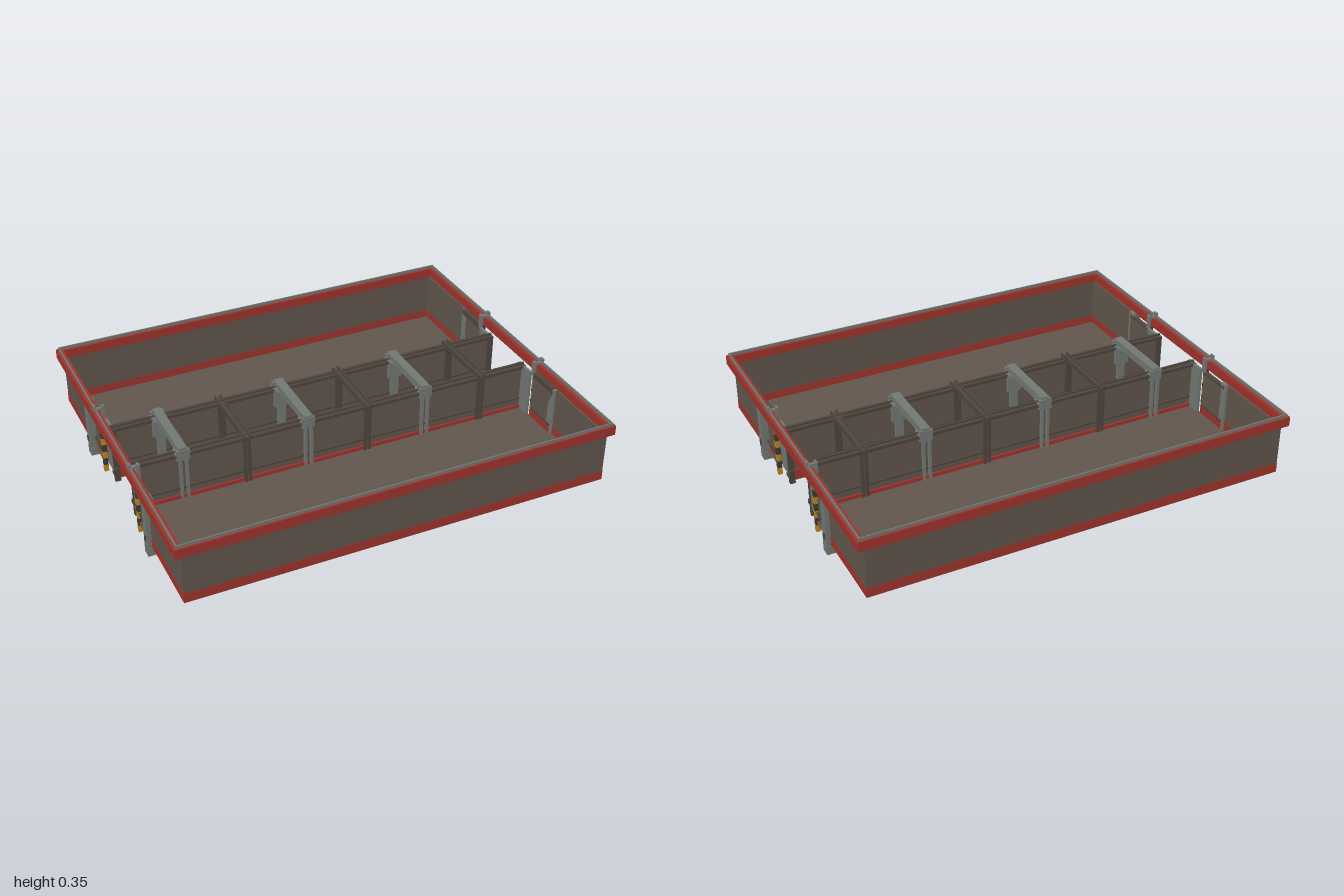
import * as THREE from 'three';

const mat = (name, color) => {
  const m = new THREE.MeshStandardMaterial({ color });
  m.name = name;
  return m;
};

export function createModel() {
  const brown = mat('brown panel', 0x62574d);
  const dark = mat('dark brown steel', 0x4f463e);
  const red = mat('red trim', 0xa0342d);
  const grey = mat('grey steel', 0x737a74);
  const yellow = mat('hazard yellow', 0xb98a20);
  const black = mat('hazard dark', 0x3d3a35);

  const model = new THREE.Group();

  // Box between two corners, in any order
  const box = (name, m, x0, x1, y0, y1, z0, z1, parent = model) => {
    const mesh = new THREE.Mesh(
      new THREE.BoxGeometry(Math.abs(x1 - x0), Math.abs(y1 - y0), Math.abs(z1 - z0)), m);
    mesh.position.set((x0 + x1) / 2, (y0 + y1) / 2, (z0 + z1) / 2);
    mesh.name = name;
    parent.add(mesh);
    return mesh;
  };

  // Flat plan outline raised between two heights
  const slab = (name, m, shape, y0, y1) => {
    const g = new THREE.ExtrudeGeometry(shape, { depth: y1 - y0, bevelEnabled: false });
    g.rotateX(-Math.PI / 2);
    const mesh = new THREE.Mesh(g, m);
    mesh.position.y = y0;
    mesh.name = name;
    model.add(mesh);
    return mesh;
  };
  const rect = (Type, x, z) => new Type(
    [[-x, -z], [x, -z], [x, z], [-x, z]].map(p => new THREE.Vector2(...p)));
  const ring = (name, m, x, z, ix, iz, y0, y1) => {
    const s = rect(THREE.Shape, x, z);
    s.holes.push(rect(THREE.Path, ix, iz));
    return slab(name, m, s, y0, y1);
  };

  // Continuous rim band with a thin upstand
  ring('rimBand', red, 0.995, 0.81, 0.963, 0.785, 0.28, 0.325);
  ring('rimLip', grey, 0.985, 0.802, 0.979, 0.796, 0.325, 0.338);

  for (const s of [1, -1]) {
    // Floor, narrower at the ends beside the corridor
    box('floor', brown, -0.963, 0.963, 0.045, 0.052, s * 0.24, s * 0.793);
    box('floorInner', brown, -0.943, 0.943, 0.045, 0.052, s * 0.165, s * 0.24);

    // Long outer wall
    box('longWall', brown, -0.965, 0.965, 0.09, 0.285, s * 0.785, s * 0.795);
    box('longWallBase', red, -0.965, 0.965, 0.045, 0.09, s * 0.784, s * 0.796);

    // Corridor wall with base beam and channel cap
    box('corridorWall', brown, -0.945, 0.945, 0.05, 0.27, s * 0.138, s * 0.158);
    box('corridorBase', red, -0.94, 0.94, 0.02, 0.07, s * 0.132, s * 0.166);
    box('corridorCap', dark, -0.95, 0.95, 0.265, 0.28, s * 0.128, s * 0.168);
    box('corridorCapRib', dark, -0.95, 0.95, 0.28, 0.288, s * 0.142, s * 0.15);
    box('corridorRail', dark, -0.94, 0.94, 0.1, 0.108, s * 0.132, s * 0.164);

    for (const e of [1, -1]) {
      // End wall and recessed bay beside the column
      box('endWall', brown, e * 0.955, e * 0.965, 0.09, 0.285, s * 0.4, s * 0.795);
      box('endWallBase', red, e * 0.954, e * 0.966, 0.045, 0.09, s * 0.4, s * 0.796);
      box('bayPanel', brown, e * 0.945, e * 0.953, 0.1, 0.268, s * 0.24, s * 0.4);
      box('bayBase', red, e * 0.944, e * 0.954, 0.045, 0.09, s * 0.24, s * 0.4);
      for (const y of [0.09, 0.262])
        box('bayRail', dark, e * 0.942, e * 0.962, y, y + 0.01, s * 0.24, s * 0.4);

      // Tall end column with foot and latch
      box('endColumn', grey, e * 0.945, e * 0.985, 0.005, 0.285, s * 0.375, s * 0.415);
      box('columnFoot', grey, e * 0.938, e * 0.985, 0, 0.04, s * 0.373, s * 0.417);
      box('columnLatch', dark, e * 0.985, e * 0.99, 0.07, 0.1, s * 0.393, s * 0.403);

      // Striped warning post
      for (let i = 0; i < 8; i++)
        box('warningPost', i % 2 ? black : yellow, e * 0.948, e * 0.968,
          i * 0.035, (i + 1) * 0.035, s * 0.23, s * 0.248);

      // Doorway jamb and end post of the corridor
      box('doorJamb', grey, e * 0.933, e * 0.947, 0.045, 0.28, s * 0.142, s * 0.225);
      box('doorPost', dark, e * 0.925, e * 0.95, 0.008, 0.28, s * 0.125, s * 0.142);
      box('doorSill', dark, e * 0.925, e * 0.95, 0.03, 0.045, s * 0.142, s * 0.17);
      box('doorHinge', dark, e * 0.935, e * 0.952, 0.06, 0.08, s * 0.113, s * 0.126);

      // Clip over the rim
      box('rimClip', grey, e * 0.94, e * 0.99, 0.325, 0.335, s * 0.23, s * 0.246);
      for (const x of [0.978, 0.94])
        box('rimClipTip', grey, e * x, e * (x + 0.012), x > 0.95 ? 0.32 : 0.27,
          x > 0.95 ? 0.35 : 0.342, s * 0.228, s * 0.25);
    }
    // Sliding panel head at one end
    box('panelHead', dark, 0.938, 0.962, 0.268, 0.29, s * 0.25, s * 0.4);
  }

  // Plan of a cross beam flared at both ends
  const flared = new THREE.Shape();
  const half = [[0.035, -0.168], [0.035, -0.135], [0.02, -0.105], [0.02, 0.105], [0.035, 0.135], [0.035, 0.168]];
  flared.setFromPoints([...half, ...half.map(([x, z]) => [-x, -z])].map(p => new THREE.Vector2(...p)));

  // Triangular knee brace under a beam
  const knee = new THREE.Shape([[0, 0], [0, -0.03], [0.025, 0]].map(p => new THREE.Vector2(...p)));

  for (let i = 0; i < 6; i++) {
    const x = -0.728 + i * 0.288;
    const heavy = i % 2 === 0;
    const m = heavy ? grey : dark;
    const w = heavy ? 0.02 : 0.016;

    // Cross beam
    if (heavy) {
      slab('beamPlate', grey, flared, 0.275, 0.283).position.x = x;
      box('crossBeam', grey, x - w, x + w, 0.283, 0.31, -0.168, 0.168);
    } else {
      box('crossTie', dark, x - w, x + w, 0.27, 0.284, -0.175, 0.175);
      for (const d of [-w, w - 0.006])
        box('tieFlange', dark, x + d, x + d + 0.006, 0.284, 0.295, -0.175, 0.175);
    }

    for (const s of [1, -1]) {
      // Twin posts facing the bay, plate facing the corridor
      for (const d of [-w, w - 0.012])
        box('bayPost', m, x + d, x + d + 0.012, 0.02, 0.28, s * 0.158, s * 0.174);
      box('corridorPost', m, x - w, x + w, 0.01, 0.275, s * 0.126, s * 0.138);
      if (heavy) {
        box('postPlate', grey, x - 0.035, x + 0.035, 0.19, 0.275, s * 0.124, s * 0.138);
        box('beamEnd', grey, x - 0.03, x + 0.03, 0.25, 0.3, s * 0.158, s * 0.172);
      }
      const brace = new THREE.Mesh(
        new THREE.ExtrudeGeometry(knee, { depth: 0.012, bevelEnabled: false }), m);
      brace.rotation.y = s * Math.PI / 2;
      brace.position.set(x - s * 0.006, 0.275, s * 0.126);
      brace.name = 'kneeBrace';
      model.add(brace);
    }
  }
  return model;
}
